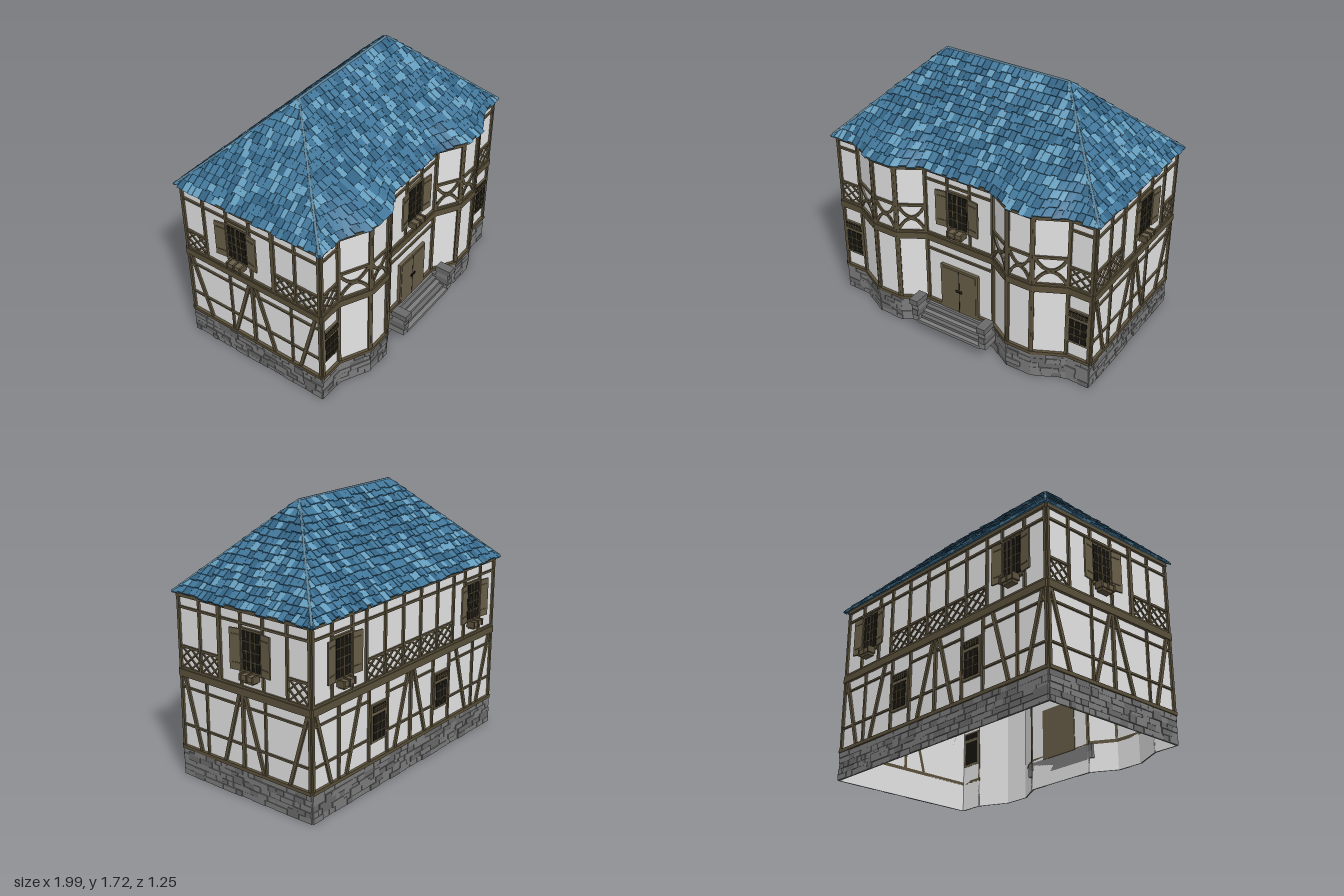
import * as THREE from 'three';
import { mergeGeometries } from 'three/addons/utils/BufferGeometryUtils.js';

const mat = (name, color, side = THREE.FrontSide) => {
  const m = new THREE.MeshStandardMaterial({ color, side });
  m.name = name;
  return m;
};
const M = {
  plaster: mat('white plaster', 0xe4e4e4, THREE.DoubleSide),
  beam: mat('timber', 0x5a503a),
  joinery: mat('joinery wood', 0x675d47),
  glass: mat('dark glass', 0x14130f),
  stone: mat('stone', 0x7c7c7c),
  stoneDark: mat('dark stone', 0x6a6a6a),
  roofMid: mat('blue tile', 0x417699),
  roofDark: mat('dark blue tile', 0x336384, THREE.DoubleSide),
  roofLight: mat('light blue tile', 0x659dbd),
  cap: mat('hip cap', 0x5f8296),
};
const lerp = THREE.MathUtils.lerp, clamp = THREE.MathUtils.clamp;
const EAVE = 1.18, RISE = 0.53, MID_Z = -0.06;

let seed = 7;
const rnd = () => (seed = (seed * 16807) % 2147483647) / 2147483647;

function add(parent, geo, material, name) {
  const m = new THREE.Mesh(geo, material);
  m.name = name;
  parent.add(m);
  return m;
}
// Box given by its limits
function block(p, name, material, x0, x1, y0, y1, z0, z1) {
  const m = add(p, new THREE.BoxGeometry(x1 - x0, y1 - y0, z1 - z0), material, name);
  m.position.set((x0 + x1) / 2, (y0 + y1) / 2, (z0 + z1) / 2);
  return m;
}
// Timber lying on a wall between two points
function bar(p, x1, y1, x2, y2, w = 0.018, d = 0.012, material = M.beam, name = 'timber') {
  const m = add(p, new THREE.BoxGeometry(Math.hypot(x2 - x1, y2 - y1), w, d + 0.001), material, name);
  m.position.set((x1 + x2) / 2, (y1 + y2) / 2, d / 2 + 0.0005);
  m.rotation.z = Math.atan2(y2 - y1, x2 - x1);
}
const post = (p, u, y0, y1, w) => bar(p, u, y0, u, y1, w, 0.013, M.beam, 'post');
const rail = (p, y, u0, u1, w) => bar(p, u0, y, u1, y, w, 0.011, M.beam, 'rail');

// Crossed lattice panel with a rail above
function lattice(p, a, b, y0 = 0.715, y1 = 0.84) {
  const u0 = Math.min(a, b), u1 = Math.max(a, b);
  for (const o of [-0.5, 0, 0.5]) for (const flip of [0, 1]) {
    const X = (t) => lerp(u0, u1, flip ? 1 - t : t), Y = (t) => lerp(y0, y1, t);
    bar(p, X(Math.max(0, o)), Y(Math.max(0, -o)), X(Math.min(1, 1 + o)), Y(Math.min(1, 1 - o)),
      0.009, flip ? 0.007 : 0.008, M.beam, 'lattice');
  }
  rail(p, y1 + 0.005, u0, u1, 0.014);
}
// Two arcs that touch in the middle of a bay panel
function curvedCross(p, u0, u1, y0 = 0.715, y1 = 0.89) {
  const n = 8, half = (y1 - y0) / 2;
  for (const s of [-1, 1]) for (let i = 0; i < n; i++) {
    const Y = (t) => (y0 + y1) / 2 + s * (0.004 + (half - 0.004) * (2 * t - 1) ** 2);
    bar(p, lerp(u0, u1, i / n), Y(i / n), lerp(u0, u1, (i + 1) / n), Y((i + 1) / n), 0.018, 0.01, M.beam, 'curvedBrace');
  }
  rail(p, y1 + 0.006, u0, u1, 0.018);
}
// Dark panes with glazing bars
function panes(p, u, y0, w, h, cols, rows, z) {
  block(p, 'glass', M.glass, u - w / 2, u + w / 2, y0, y0 + h, -0.003, z);
  for (let i = 1; i < cols; i++) bar(p, u - w / 2 + w * i / cols, y0, u - w / 2 + w * i / cols, y0 + h, 0.005, z + 0.003, M.beam, 'glazingBar');
  for (let i = 1; i < rows; i++) bar(p, u - w / 2, y0 + h * i / rows, u + w / 2, y0 + h * i / rows, 0.005, z + 0.003, M.beam, 'glazingBar');
}
function lowWindow(p, u) {
  const g = new THREE.Group();
  g.name = 'groundFloorWindow';
  p.add(g);
  block(g, 'windowFrame', M.joinery, u - 0.075, u + 0.075, 0.305, 0.55, -0.002, 0.014);
  panes(g, u, 0.32, 0.118, 0.16, 3, 3, 0.017);
  panes(g, u, 0.5, 0.125, 0.04, 6, 3, 0.017);
}
function shutterWindow(p, u) {
  const g = new THREE.Group();
  g.name = 'shutteredWindow';
  g.position.x = u;
  p.add(g);
  block(g, 'windowFrame', M.beam, -0.083, 0.083, 0.8, 1.068, -0.002, 0.016);
  panes(g, 0, 0.82, 0.134, 0.235, 4, 4, 0.019);
  bar(g, 0, 0.82, 0, 1.055, 0.012, 0.024);
  for (const s of [-1, 1]) {
    const sh = new THREE.Group();
    sh.name = 'shutter';
    sh.position.set(s * 0.08, 0, 0.014);
    sh.rotation.y = -s * 0.13;
    g.add(sh);
    block(sh, 'shutterLeaf', M.joinery, Math.min(0, s * 0.076), Math.max(0, s * 0.076), 0.81, 1.06, 0, 0.01);
    for (const y of [0.85, 1.02]) block(sh, 'hinge', M.beam, Math.min(0, s * 0.06), Math.max(0, s * 0.06), y, y + 0.008, 0.009, 0.013);
  }
  block(g, 'flowerBox', M.joinery, -0.052, 0.052, 0.775, 0.805, 0.01, 0.06);
  block(g, 'flowerBoxBase', M.beam, -0.04, 0.04, 0.757, 0.776, 0.01, 0.052);
  for (const x of [-0.05, 0, 0.05]) block(g, 'boxBracket', M.beam, x - 0.006, x + 0.006, 0.77, 0.812, 0.01, 0.065);
}
// Irregular stone courses along a wall
function stones(p, L) {
  const sets = [[], []], rows = 5, top = 0.18;
  for (let r = 0; r < rows; r++) for (let u = -L / 2 - 0.006; u < L / 2;) {
    let w = 0.04 + rnd() * 0.07;
    if (u + w > L / 2 - 0.03) w = L / 2 + 0.006 - u;
    const h = top / rows, tall = rnd() < 0.2 && r < rows - 1 ? h * 0.5 : 0, d = 0.006 + rnd() * 0.008;
    sets[rnd() < 0.7 ? 0 : 1].push(new THREE.BoxGeometry(w - 0.003, h - 0.002 + tall, d)
      .translate(u + w / 2, (r + 0.5) * h + tall / 2, d / 2 + 0.001));
    u += w;
  }
  block(p, 'mortar', M.stoneDark, -L / 2, L / 2, 0, top, 0.001, 0.006);
  sets.forEach((s, i) => s.length && add(p, mergeGeometries(s), i ? M.stoneDark : M.stone, 'foundationStones'));
}

// Each wall is a group: x runs along it, z points outward
function makeWall(parent, a, b, name) {
  const g = new THREE.Group(), L = Math.hypot(b[0] - a[0], b[1] - a[1]);
  g.name = name;
  g.position.set((a[0] + b[0]) / 2, 0, (a[1] + b[1]) / 2);
  g.rotation.y = Math.atan2(a[1] - b[1], b[0] - a[0]);
  parent.add(g);
  add(g, new THREE.PlaneGeometry(L, EAVE).translate(0, EAVE / 2, 0), M.plaster, 'plaster');
  stones(g, L);
  const e = L / 2 + 0.006;
  bar(g, -e, 0.19, e, 0.19, 0.022, 0.018, M.beam, 'sillBeam');
  bar(g, -e, 0.677, e, 0.677, 0.045, 0.018, M.beam, 'floorBeam');
  bar(g, -e, 0.707, e, 0.707, 0.014, 0.012, M.beam, 'floorRail');
  bar(g, -e, 1.167, e, 1.167, 0.024, 0.016, M.beam, 'topBeam');
  for (const s of [-1, 1]) post(g, s * (L / 2 - 0.004), 0.19, 1.17, 0.018);
  return g;
}

function dressSide(g, s) {
  const U = (z) => s * (-0.055 - z);
  for (const z of [0.24, -0.055, -0.23]) post(g, U(z), 0.2, 0.66, z < 0 && z > -0.1 ? 0.022 : 0.012);
  for (const [a, b] of [[0.42, 0.3], [-0.03, 0.1], [-0.075, -0.21], [-0.545, -0.41]]) bar(g, U(a), 0.655, U(b), 0.2, 0.022, 0.012, M.beam, 'brace');
  for (const y of [0.34, 0.585]) rail(g, y, -0.51, 0.51, 0.012);
  for (const z of [0.28, 0.12, -0.05, -0.22, -0.4]) post(g, U(z), 0.71, 1.16, z === 0.12 ? 0.026 : 0.015);
  rail(g, 1.09, -0.51, 0.51, 0.014);
  for (const [a, b] of [[0.435, 0.29], [0.27, 0.135], [-0.41, -0.55]]) lattice(g, U(a), U(b));
  shutterWindow(g, U(-0.14));
}
function dressBack(g) {
  post(g, 0, 0.2, 0.66, 0.022);
  for (const s of [-1, 1]) {
    for (const x of [0.24, 0.42, 0.7]) post(g, s * x, 0.2, 0.66, 0.015);
    for (const [a, b] of [[0.9, 0.77], [0.5, 0.63], [0.03, 0.16]]) bar(g, s * a, 0.655, s * b, 0.2, 0.022, 0.012, M.beam, 'brace');
    for (const y of [0.34, 0.585]) rail(g, y, Math.min(s * 0.42, s * 0.93), Math.max(s * 0.42, s * 0.93), 0.012);
    for (const x of [0.09, 0.27, 0.45, 0.58, 0.76]) post(g, s * x, 0.71, 1.16, 0.016);
    lowWindow(g, s * 0.33);
    shutterWindow(g, s * 0.67);
  }
  for (const y of [0.34, 0.585]) rail(g, y, -0.25, 0.25, 0.012);
  rail(g, 1.09, -0.93, 0.93, 0.014);
  for (let i = -2; i <= 2; i++) lattice(g, i * 0.18 - 0.08, i * 0.18 + 0.08);
}
function dressEntrance(g) {
  rail(g, 0.59, -0.235, 0.235, 0.014);
  rail(g, 1.1, -0.25, 0.25, 0.014);
  for (const x of [-0.08, 0.08]) post(g, x, 0.71, 1.16, 0.014);
  shutterWindow(g, 0);
  block(g, 'doorFrame', M.joinery, -0.14, 0.14, 0.175, 0.51, -0.004, 0.02);
  block(g, 'doorGap', M.glass, -0.002, 0.002, 0.18, 0.5, 0.015, 0.0235);
  for (const s of [-1, 1]) {
    block(g, 'doorLeaf', M.joinery, s < 0 ? -0.125 : 0.003, s < 0 ? -0.003 : 0.125, 0.18, 0.495, 0.015, 0.023);
    add(g, new THREE.TorusGeometry(0.009, 0.003, 6, 12), M.glass, 'doorRing').position.set(s * 0.014, 0.345, 0.026);
    // Stone cheeks beside the steps
    const c = s * 0.257, cheek = [[0.09, 0.135, 0.15, 0.025], [0.135, 0.18, 0.157, 0.022], [0.18, 0.225, 0.152, 0.025], [0.222, 0.262, 0.168, 0.031]];
    cheek.forEach(([y0, y1, z1, hw], i) => block(g, 'stairCheek', i % 2 ? M.stoneDark : M.stone, c - hw, c + hw, y0, y1, i > 1 ? 0.06 : 0, z1));
  }
  for (let i = 0; i < 5; i++) block(g, 'step', i % 2 ? M.stoneDark : M.stone, -0.24, 0.24, 0.085, 0.178 - i * 0.018, i * 0.03, (i + 1) * 0.03 + 0.004);
}

// One roof slope: a shell covered with overlapping tiles
function roofSlope(parent, turn, hE, hR, zE, zR, bays, name) {
  const g = new THREE.Group();
  g.name = name;
  g.rotation.y = turn;
  g.position.set(0, EAVE, MID_Z);
  parent.add(g);
  const half = (t) => lerp(hE, hR, t);
  const bump = (x) => {
    const a = Math.abs(x);
    return 0.1 * THREE.MathUtils.smoothstep(a, 0.23, 0.43) * (1 - THREE.MathUtils.smoothstep(a, 0.56, 0.8));
  };
  const P = (x, t, lift) => {
    const c = clamp(x, -half(t), half(t));
    const out = bays ? bump(c) * Math.max(0, 1 - t / 0.42) : 0;
    return [c, RISE * t + lift * 0.7, lerp(zE, zR, t) + out + lift * 0.7];
  };
  const shell = new THREE.PlaneGeometry(2, 1, 40, 14), pos = shell.attributes.position;
  for (let i = 0; i < pos.count; i++) {
    const t = pos.getY(i) + 0.5;
    pos.setXYZ(i, ...P(pos.getX(i) * half(t), t, -0.004));
  }
  shell.computeVertexNormals();
  add(g, shell, M.roofDark, 'roofShell');
  const rows = 14, sets = { roofMid: [], roofDark: [], roofLight: [] };
  for (let r = 0; r < rows; r++) for (let x = -hE - 0.02 - rnd() * 0.03; x < hE + 0.02;) {
    const w = 0.032 + rnd() * 0.02, t0 = r / rows - rnd() * 0.025, t1 = Math.min(1, (r + 1) / rows + 0.005);
    const pick = rnd(), list = sets[pick < 0.55 ? 'roofMid' : pick < 0.8 ? 'roofDark' : 'roofLight'];
    const lift = 0.012 + rnd() * 0.007, l = x, k = x + w - 0.002;
    x += w;
    if (k <= -half(t0) || l >= half(t0)) continue;
    const a = P(l, t0, 0), b = P(k, t0, 0), c = P(k, t1, 0), d = P(l, t1, 0);
    const A = P(l, t0, lift), B = P(k, t0, lift), C = P(k, t1, 0.004), D = P(l, t1, 0.004);
    for (const [p, q, s, v] of [[A, B, C, D], [a, b, B, A], [d, a, A, D], [b, c, C, B]]) list.push(...p, ...q, ...s, ...p, ...s, ...v);
  }
  for (const key in sets) {
    const geo = new THREE.BufferGeometry();
    geo.setAttribute('position', new THREE.Float32BufferAttribute(sets[key], 3));
    geo.computeVertexNormals();
    add(g, geo, M[key], 'roofTiles');
  }
}
function ridge(parent, a, b, name) {
  const A = new THREE.Vector3(...a), B = new THREE.Vector3(...b);
  const m = add(parent, new THREE.CylinderGeometry(0.009, 0.009, A.distanceTo(B), 6), M.cap, name);
  m.position.copy(A).lerp(B, 0.5);
  m.quaternion.setFromUnitVectors(new THREE.Vector3(0, 1, 0), B.sub(A).normalize());
}

export function createModel() {
  seed = 7;
  const house = new THREE.Group();
  house.name = 'timberFramedHouse';
  // Footprint with two bays at the front
  const bay = [[0.25, 0.455], [0.41, 0.55], [0.58, 0.55], [0.77, 0.455], [0.93, 0.455]];
  const plan = [...bay.map(([x, z]) => [-x, z]).reverse(), ...bay, [0.93, -0.565], [-0.93, -0.565]];
  plan.forEach((a, i) => {
    const b = plan[(i + 1) % plan.length], L = Math.hypot(b[0] - a[0], b[1] - a[1]);
    const kind = i === 4 ? 'entranceWall' : i === 0 || i === 8 ? 'frontEndWall' : i < 8 ? 'bayWall' : i === 10 ? 'backWall' : 'sideWall';
    const g = makeWall(house, a, b, kind);
    if (kind === 'entranceWall') dressEntrance(g);
    else if (kind === 'bayWall') curvedCross(g, -L / 2 + 0.01, L / 2 - 0.01);
    else if (kind === 'backWall') dressBack(g);
    else if (kind === 'sideWall') dressSide(g, i === 9 ? 1 : -1);
    else {
      lowWindow(g, 0);
      lattice(g, -0.07, 0.07);
      rail(g, 1.1, -0.08, 0.08, 0.014);
    }
  });
  // Hipped roof
  roofSlope(house, 0, 0.95, 0.43, 0.53, 0, true, 'frontRoof');
  roofSlope(house, Math.PI, 0.95, 0.43, 0.53, 0, false, 'backRoof');
  for (const s of [-1, 1]) {
    roofSlope(house, s * Math.PI / 2, 0.53, 0, 0.95, 0.43, false, 'sideRoof');
    for (const f of [-1, 1]) ridge(house, [s * 0.955, EAVE + 0.004, MID_Z + f * 0.535], [s * 0.43, EAVE + RISE, MID_Z], 'hipCap');
  }
  ridge(house, [-0.43, EAVE + RISE - 0.002, MID_Z], [0.43, EAVE + RISE - 0.002, MID_Z], 'ridgeCap');
  return house;
}
